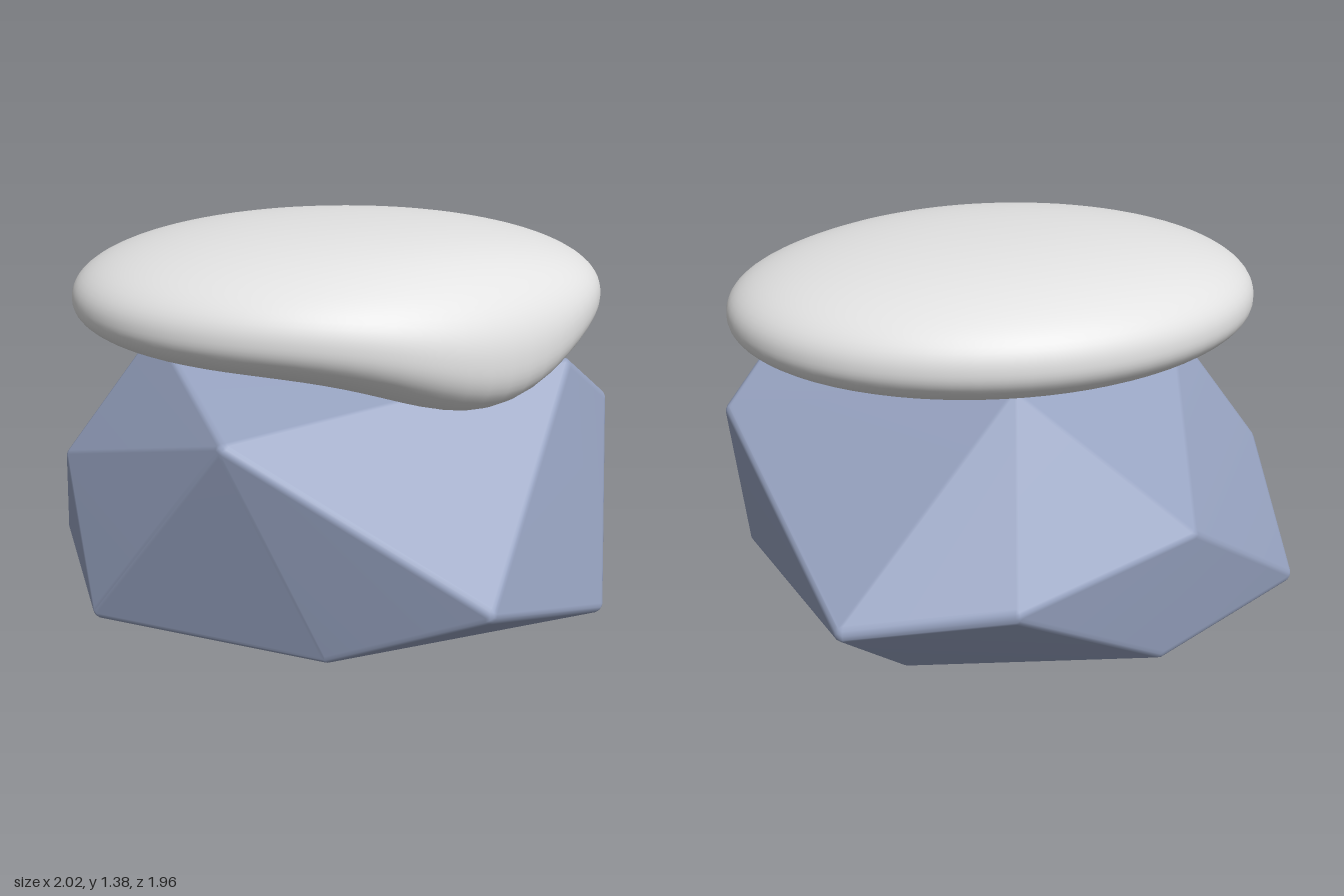
import * as THREE from 'three';
import { mergeVertices } from 'three/addons/utils/BufferGeometryUtils.js';
import { ConvexGeometry } from 'three/addons/geometries/ConvexGeometry.js';

const rockBlue = new THREE.MeshStandardMaterial({ color: 0x98a4c2 });
const snowWhite = new THREE.MeshStandardMaterial({ color: 0xe2e2e2 });

// Corners of the boulder, grouped by level
const corners = [
  // base
  [-0.89, 0, 0.28], [-0.1, 0, 0.72], [0.94, 0, 0.48], [0.52, 0, -0.56], [-0.37, 0, -0.75], [-1.01, 0.05, -0.43],
  // belt
  [0.4, 0.28, 0.98], [0.77, 0.34, -0.82], [0.23, 0.41, -0.98], [-0.44, 0.51, -0.81], [-0.98, 0.49, -0.1], [1.01, 0.73, 0.17],
  // crown
  [-0.44, 0.8, 0.74], [-0.64, 0.97, -0.06], [0.12, 0.99, -0.57], [0.82, 0.91, 0.33],
];

// Convex hull of a small ball at each corner gives softly rounded edges
function roundedHull(points, radius) {
  const centre = new THREE.Vector3(0, 0.48, 0);
  const ball = mergeVertices(stripped(new THREE.IcosahedronGeometry(radius, 2))).attributes.position;
  const cloud = [];
  for (const p of points) {
    const c = new THREE.Vector3(...p);
    c.addScaledVector(c.clone().sub(centre).normalize(), -radius * 1.1);
    c.y = Math.max(c.y, radius);
    for (let i = 0; i < ball.count; i++) cloud.push(new THREE.Vector3().fromBufferAttribute(ball, i).add(c));
  }
  return smooth(new ConvexGeometry(cloud));
}

function stripped(geometry) {
  geometry.deleteAttribute('normal');
  geometry.deleteAttribute('uv');
  return geometry;
}

function smooth(geometry) {
  const merged = mergeVertices(stripped(geometry), 1e-5);
  merged.computeVertexNormals();
  return merged;
}

// Flattened ball that sags over one front corner of the boulder
function snowGeometry() {
  const geometry = new THREE.SphereGeometry(1, 72, 48);
  const pos = geometry.attributes.position;
  for (let i = 0; i < pos.count; i++) {
    const u = pos.getX(i), v = pos.getY(i), w = pos.getZ(i);
    // slightly fuller than an ellipsoid
    const k = Math.pow(Math.pow(Math.hypot(u, w), 2.25) + Math.pow(Math.abs(v), 2.25), -1 / 2.25);
    const x = 0.035 + 0.945 * u * k;
    const z = 0.012 + 0.757 * w * k;
    const height = v * k * (v > 0 ? 0.255 : 0.215);
    const sag = Math.exp(-(((x - 0.46) / 0.42) ** 2) - ((z - 0.6) / 0.3) ** 2);
    const y = 1.13 + height - 0.16 * sag * THREE.MathUtils.smoothstep(-v, -0.9, 0.4);
    pos.setXYZ(i, x, y, z);
  }
  return smooth(geometry);
}

export function createModel() {
  const group = new THREE.Group();
  group.name = 'snowyRock';

  const rock = new THREE.Mesh(roundedHull(corners, 0.04), rockBlue);
  rock.name = 'rock';

  const snow = new THREE.Mesh(snowGeometry(), snowWhite);
  snow.name = 'snowCap';

  group.add(rock, snow);
  return group;
}
